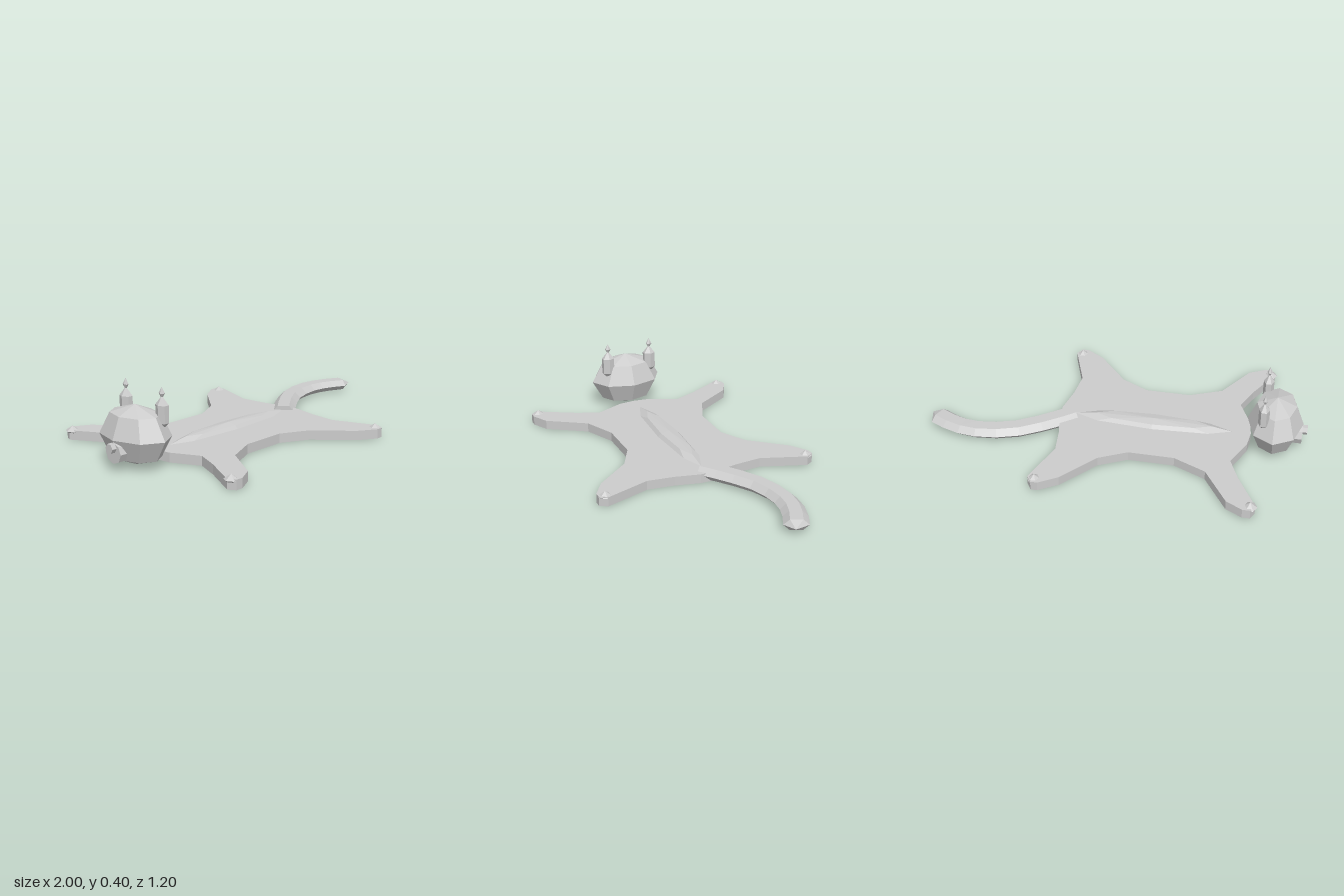
import * as THREE from 'three';

const fur = new THREE.MeshStandardMaterial({ color: 0xcccccc, flatShading: true });
fur.name = 'greyFur';

function part(parent, name, geometry, x = 0, y = 0, z = 0) {
  const mesh = new THREE.Mesh(geometry, fur);
  mesh.name = name;
  mesh.position.set(x, y, z);
  parent.add(mesh);
  return mesh;
}

// Flat pelt with four splayed legs, mirrored across z
function peltGeometry() {
  const half = [
    [-0.71, 0], [-0.7, 0.09], [-0.63, 0.243], [-0.685, 0.37], [-0.79, 0.56], [-0.77, 0.6],
    [-0.73, 0.6], [-0.645, 0.555], [-0.515, 0.352], [-0.345, 0.277], [-0.105, 0.277],
    [0.04, 0.352], [0.2, 0.54], [0.295, 0.6], [0.33, 0.6], [0.355, 0.56],
    [0.27, 0.32], [0.285, 0.175], [0.315, 0.04],
  ];
  const other = half.slice(1).reverse().map(([x, z]) => [x, -z]);
  const shape = new THREE.Shape([...half, ...other].map(([x, z]) => new THREE.Vector2(x, z)));
  return new THREE.ExtrudeGeometry(shape, { depth: 0.05, bevelEnabled: false }).rotateX(Math.PI / 2);
}

// Curved tail: flattened hexagon sections along a curve, closed by a pointed tip
function tailGeometry() {
  const curve = new THREE.CatmullRomCurve3([
    [0.245, 0], [0.37, -0.095], [0.53, -0.19], [0.7, -0.228], [0.83, -0.212], [0.95, -0.158],
  ].map(([x, z]) => new THREE.Vector3(x, 0.038, z)));
  const rings = 8, sides = 6, positions = [], index = [];
  const up = new THREE.Vector3(0, 1, 0);
  for (let i = 0; i <= rings; i++) {
    const t = i / rings;
    const p = curve.getPoint(t);
    const side = curve.getTangent(t).cross(up).normalize();
    const height = (0.034 - 0.006 * t) / Math.sin(Math.PI / 3);
    for (let k = 0; k < sides; k++) {
      const a = (k / sides) * Math.PI * 2;
      const v = p.clone().addScaledVector(side, 0.063 * Math.cos(a)).addScaledVector(up, height * Math.sin(a));
      positions.push(v.x, v.y, v.z);
    }
  }
  const start = (rings + 1) * sides, tip = start + 1;
  positions.push(0.245, 0.038, 0, 0.995, 0.042, -0.13);
  for (let k = 0; k < sides; k++) {
    const n = (k + 1) % sides;
    for (let i = 0; i < rings; i++) {
      const a = i * sides + k, b = i * sides + n;
      index.push(a, a + sides, b + sides, a, b + sides, b);
    }
    index.push(k, n, start, rings * sides + k, tip, rings * sides + n);
  }
  const geometry = new THREE.BufferGeometry();
  geometry.setAttribute('position', new THREE.Float32BufferAttribute(positions, 3));
  geometry.setIndex(index);
  geometry.computeVertexNormals();
  return geometry;
}

const lathe = (points, sides) =>
  new THREE.LatheGeometry(points.map(([r, y]) => new THREE.Vector2(r, y)), sides);

export function createModel() {
  const model = new THREE.Group();
  model.name = 'animalRug';

  part(model, 'pelt', peltGeometry(), 0, 0.05, 0);
  part(model, 'spineRidge', new THREE.SphereGeometry(1, 8, 4).scale(0.44, 0.03, 0.066), -0.19, 0.047, 0);
  part(model, 'tail', tailGeometry());

  // Paws on the four leg ends
  for (const x of [-0.765, 0.32]) {
    for (const z of [-0.563, 0.563]) {
      part(model, 'paw', new THREE.SphereGeometry(1, 6, 2).scale(0.036, 0.027, 0.039), x, 0.043, z);
    }
  }

  // Head, facing along -x
  const head = new THREE.Group();
  head.name = 'head';
  model.add(head);
  part(head, 'skull', new THREE.SphereGeometry(1, 8, 4).scale(0.145, 0.15, 0.205), -0.832, 0.155, 0);
  part(head, 'muzzle', new THREE.CylinderGeometry(0.053, 0.053, 0.1, 8).rotateZ(Math.PI / 2), -0.925, 0.093, 0);
  part(head, 'nose', new THREE.CylinderGeometry(0.025, 0.025, 0.04, 6).rotateZ(Math.PI / 2), -0.98, 0.12, 0);

  // Ears with pointed tufts
  for (const side of [-1, 1]) {
    const ear = part(head, 'ear', lathe([[0, 0.19], [0.037, 0.225], [0.037, 0.312], [0, 0.357]], 6).rotateY(Math.PI / 6), -0.775, 0, side * 0.127);
    const tuft = part(head, 'earTuft', lathe([[0, 0.34], [0.017, 0.368], [0, 0.4]], 6).rotateY(Math.PI / 6), -0.775, 0, side * 0.127);
    ear.scale.x = tuft.scale.x = 0.75;
  }
  return model;
}
